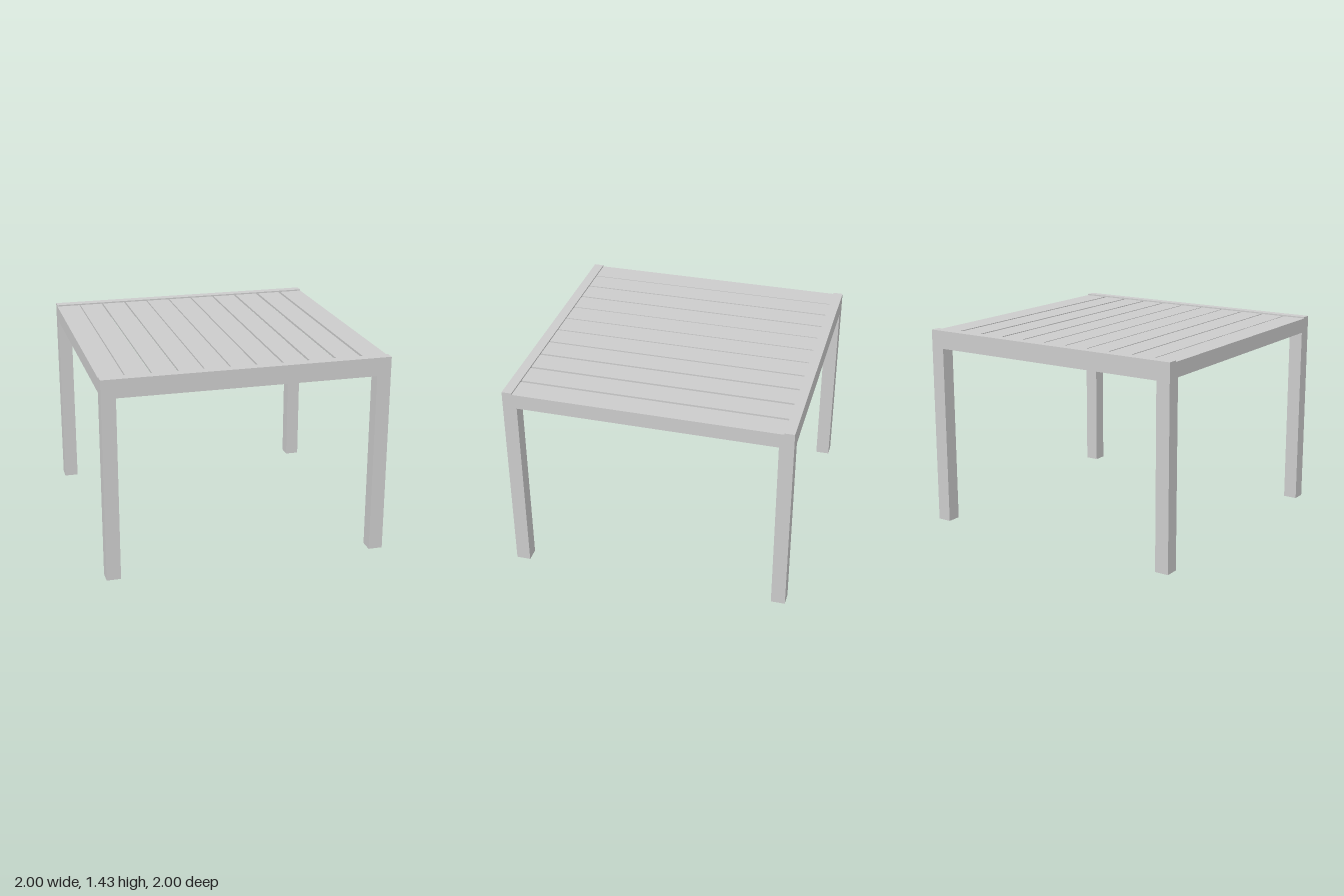
import * as THREE from 'three';

export function createModel() {
  const table = new THREE.Group();
  table.name = 'slattedTable';
  const material = new THREE.MeshStandardMaterial({ color: 0xcccccc, flatShading: true });

  // Box given by its limits on each axis
  const addBox = (name, [x0, x1], [y0, y1], [z0, z1]) => {
    const mesh = new THREE.Mesh(new THREE.BoxGeometry(x1 - x0, y1 - y0, z1 - z0), material);
    mesh.position.set((x0 + x1) / 2, (y0 + y1) / 2, (z0 + z1) / 2);
    mesh.name = name;
    table.add(mesh);
  };
  // Range against the outer edge on the side given by sign
  const edge = (sign, width) => (sign > 0 ? [1 - width, 1] : [-1, -1 + width]);

  const slatBottom = 1.405;
  const slatTop = 1.42;
  const railWidth = 0.07;
  const legWidth = 0.1;

  // Four square legs
  for (const sx of [-1, 1]) {
    for (const sz of [-1, 1]) {
      const name = (sz > 0 ? 'front' : 'back') + (sx > 0 ? 'Left' : 'Right') + 'Leg';
      addBox(name, edge(sx, legWidth), [0, slatBottom], edge(sz, legWidth));
    }
  }

  // Deep rails across front and back, shallower rails under the outer slats
  for (const s of [-1, 1]) {
    addBox(s > 0 ? 'frontRail' : 'backRail', [-1, 1], [1.3, 1.43], edge(s, railWidth));
    addBox(s > 0 ? 'leftRail' : 'rightRail', edge(s, railWidth), [1.315, slatBottom], [-0.93, 0.93]);
  }

  // Top slats, separated by slightly uneven gaps: [centre, width]
  const gaps = [
    [-0.823, 0.008], [-0.645, 0.012], [-0.464, 0.012], [-0.287, 0.009], [-0.107, 0.01],
    [0.074, 0.011], [0.257, 0.014], [0.44, 0.017], [0.628, 0.019], [0.819, 0.019],
  ];
  let start = -1;
  for (const [centre, width] of [...gaps, [1, 0]]) {
    addBox('slat', [start, centre - width / 2], [slatBottom, slatTop], [-0.93, 0.93]);
    start = centre + width / 2;
  }

  return table;
}
